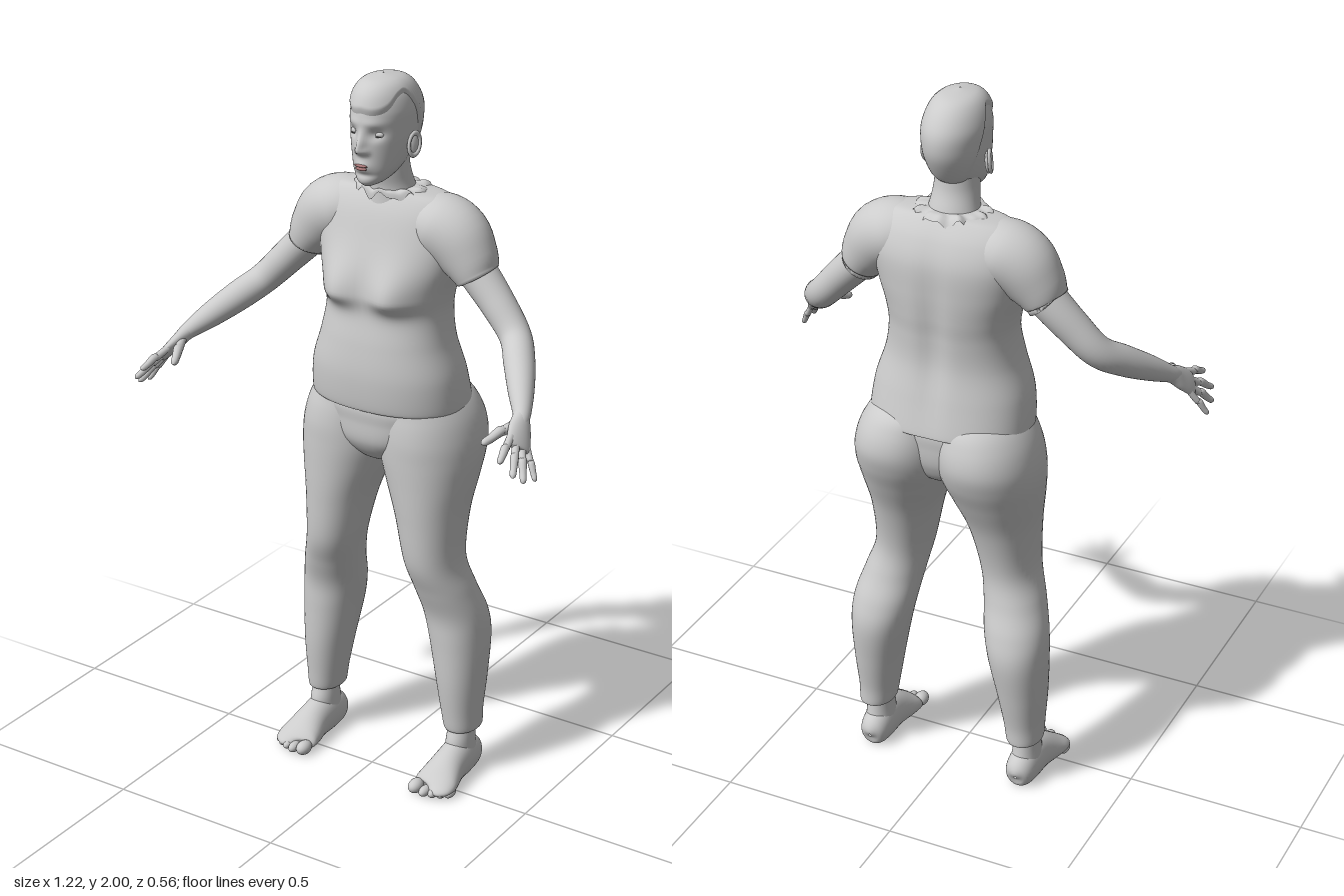
import * as THREE from 'three';

const skin = new THREE.MeshStandardMaterial({ color: 0xcccccc, side: THREE.DoubleSide });
const lipColor = new THREE.MeshStandardMaterial({ color: 0xa87878 });
const lashColor = new THREE.MeshStandardMaterial({ color: 0x555555 });
const bump = (d, s) => Math.exp(-(d / s) * (d / s));

// Smooth interpolation through rows of numbers, t in 0..1
function sample(rows, t) {
  const f = t * (rows.length - 1), i = Math.min(Math.floor(f), rows.length - 2), k = f - i;
  const at = n => rows[Math.max(0, Math.min(rows.length - 1, n))];
  const [a, b, c, d] = [at(i - 1), at(i), at(i + 1), at(i + 2)];
  return b.map((v, n) => v + 0.5 * k * (c[n] - a[n]
    + k * (2 * a[n] - 5 * v + 4 * c[n] - d[n] + k * (3 * (v - c[n]) + d[n] - a[n]))));
}

// Skin of rings: point(t, angle) gives a Vector3; side -1 mirrors it in x
function rings(name, steps, segs, side, point) {
  const pos = [], idx = [];
  for (let i = 0; i <= steps; i++) for (let j = 0; j < segs; j++) {
    const p = point(i / steps, j / segs * Math.PI * 2);
    pos.push(p.x * side, p.y, p.z);
    if (i === steps) continue;
    const a = i * segs + j, b = i * segs + (j + 1) % segs, c = a + segs, d = b + segs;
    idx.push(...(side > 0 ? [a, b, c, b, d, c] : [a, c, b, b, c, d]));
  }
  const g = new THREE.BufferGeometry();
  g.setAttribute('position', new THREE.Float32BufferAttribute(pos, 3));
  g.setIndex(idx);
  g.computeVertexNormals();
  const m = new THREE.Mesh(g, skin);
  m.name = name;
  return m;
}

// Point on a horizontal section [y, xMin, xMax, zFront, zBack]
function section([y, x0, x1, zf, zb], a, e = 2) {
  const pw = v => Math.sign(v) * Math.abs(v) ** (2 / e);
  return new THREE.Vector3((x0 + x1) / 2 + (x1 - x0) / 2 * pw(Math.sin(a)), y,
    (zf + zb) / 2 + (zf - zb) / 2 * pw(Math.cos(a)));
}
function loft(name, rows, { steps = 60, segs = 48, e = 2, side = 1, bend = () => {} } = {}) {
  return rings(name, steps, segs, side, (t, a) => {
    const p = section(sample(rows, t), a, e);
    bend(p, a, t);
    return p;
  });
}
// Tube through rows [x, y, z, radiusA, radiusB]; radiusA lies along ref x direction
function sweep(name, rows, ref, { steps = 32, segs = 24, side = 1, bend = () => {} } = {}) {
  const c = t => new THREE.Vector3(...sample(rows, t));
  return rings(name, steps, segs, side, (t, a) => {
    const T = c(Math.min(1, t + 0.01)).sub(c(Math.max(0, t - 0.01))).normalize();
    const A = ref.clone().cross(T).normalize(), B = T.clone().cross(A);
    const r = sample(rows, t);
    const p = c(t).addScaledVector(A, r[3] * Math.cos(a)).addScaledVector(B, r[4] * Math.sin(a));
    bend(p);
    return p;
  });
}
function ball(name, x, y, z, sx, sy, sz, mat = skin) {
  const m = new THREE.Mesh(new THREE.SphereGeometry(1, 20, 14), mat);
  m.name = name;
  m.position.set(x, y, z);
  m.scale.set(sx, sy, sz);
  return m;
}
const sym = rows => rows.map(([y, r, zf, zb]) => [y, -r, r, zf, zb]);

const headRows = sym([[1.722, 0.012, 0.03, -0.01], [1.735, 0.036, 0.043, -0.05], [1.76, 0.055, 0.046, -0.1],
  [1.79, 0.066, 0.048, -0.138], [1.84, 0.076, 0.05, -0.17], [1.88, 0.079, 0.05, -0.181], [1.92, 0.079, 0.047, -0.176],
  [1.96, 0.066, 0.03, -0.15], [1.983, 0.043, 0, -0.115], [1.992, 0.002, -0.052, -0.056]]);

// Eye sockets, nose, brow, lips and chin pushed into the face
function face(p) {
  if (p.z < -0.03) return;
  const x = Math.abs(p.x), y = p.y;
  p.z += -0.012 * bump(x - 0.034, 0.017) * bump(y - 1.864, 0.014)
    + 0.024 * bump(x, 0.012) * bump(y - 1.824, y > 1.824 ? 0.036 : 0.012)
    + 0.008 * bump(x - 0.014, 0.008) * bump(y - 1.82, 0.009)
    + 0.007 * bump(x, 0.024) * bump(y - 1.778, 0.015)
    + 0.004 * bump(x - 0.03, 0.03) * bump(y - 1.893, 0.012)
    - 0.004 * bump(x, 0.03) * bump(y - 1.755, 0.008);
}

function makeHead() {
  const g = new THREE.Group();
  g.name = 'head';
  g.add(loft('face', headRows, { steps: 100, segs: 96, bend: face }));
  // Hair shell: hairline high over the temples, dropping to the nape
  const hairline = [[1.918], [1.915], [1.925], [1.955], [1.95], [1.85], [1.785], [1.768], [1.765]];
  g.add(rings('hair', 36, 72, 1, (t, a) => {
    const edge = sample(hairline, Math.abs(a > Math.PI ? 2 * Math.PI - a : a) / Math.PI)[0];
    let lo = 0, hi = 1;
    for (let n = 0; n < 22; n++) {
      const mid = (lo + hi) / 2;
      if (sample(headRows, mid)[0] < edge) lo = mid; else hi = mid;
    }
    const p = section(sample(headRows, lo + (1 - lo) * t), a), c = new THREE.Vector3(0, 1.87, -0.06);
    return p.sub(c).multiplyScalar(1 + 0.075 * Math.min(1, t * 10)).add(c);
  }));
  g.add(loft('neck', sym([[1.64, 0.085, -0.02, -0.17], [1.7, 0.067, -0.025, -0.15],
    [1.75, 0.059, -0.015, -0.134], [1.81, 0.055, -0.005, -0.13]])));
  for (const s of [1, -1]) {
    const ear = new THREE.Group();
    ear.name = 'ear';
    ear.add(ball('earLobe', 0, -0.004, 0, 0.008, 0.032, 0.017));
    const rim = new THREE.Mesh(new THREE.TorusGeometry(0.02, 0.005, 8, 24), skin);
    rim.name = 'earRim';
    rim.rotation.y = Math.PI / 2;
    rim.scale.set(0.9, 1.45, 1);
    rim.position.x = s * 0.006;
    ear.add(rim);
    ear.position.set(s * 0.082, 1.824, -0.066);
    ear.rotation.set(-0.2, -s * 0.35, 0);
    g.add(ear, ball('eyelid', s * 0.034, 1.863, 0.022, 0.015, 0.009, 0.009),
      ball('lashes', s * 0.034, 1.858, 0.029, 0.012, 0.002, 0.003, lashColor));
  }
  g.add(ball('upperLip', 0, 1.782, 0.053, 0.02, 0.004, 0.005, lipColor),
    ball('lowerLip', 0, 1.774, 0.052, 0.017, 0.005, 0.006, lipColor));
  return g;
}

function makeShirt() {
  const g = new THREE.Group();
  g.name = 'shirt';
  // Torso with bust and spine groove
  g.add(loft('shirtBody', sym([[1.125, 0.21, 0.045, -0.25], [1.11, 0.223, 0.06, -0.262], [1.2, 0.214, 0.068, -0.242],
    [1.29, 0.186, 0.06, -0.224], [1.37, 0.173, 0.046, -0.224], [1.43, 0.18, 0.045, -0.229], [1.5, 0.2, 0.035, -0.231],
    [1.58, 0.215, 0.01, -0.227], [1.64, 0.208, -0.012, -0.205], [1.68, 0.172, -0.035, -0.175],
    [1.693, 0.1, -0.05, -0.155], [1.696, 0.01, -0.09, -0.11]]), {
    steps: 90, segs: 80, e: 2.3, bend: p => {
      if (p.z > -0.05) p.z += 0.036 * bump(Math.abs(p.x) - 0.085, 0.062) * bump(p.y - 1.425, p.y < 1.425 ? 0.036 : 0.08);
      if (p.z < -0.14) p.z += 0.014 * bump(p.x, 0.035) * bump(p.y - 1.38, 0.2);
    } }));
  // Ragged neckline
  g.add(loft('collar', sym([[1.683, 0.108, -0.018, -0.182], [1.697, 0.094, -0.02, -0.168],
    [1.7, 0.066, -0.03, -0.15]]), { steps: 8, segs: 96, bend: (p, a, t) => {
    p.y += (1 - t) * (0.009 * Math.sin(9 * a) + 0.006 * Math.sin(14 * a + 1));
  } }));
  for (const side of [1, -1]) {
    g.add(sweep('sleeve', [[0.1, 1.61, -0.105, 0.07, 0.08], [0.145, 1.605, -0.105, 0.088, 0.095],
      [0.195, 1.58, -0.103, 0.092, 0.09], [0.235, 1.535, -0.1, 0.077, 0.078], [0.259, 1.498, -0.098, 0.06, 0.068],
      [0.262, 1.493, -0.098, 0.056, 0.062], [0.255, 1.503, -0.098, 0.048, 0.05]],
    new THREE.Vector3(0, 0, 1), { side, segs: 40, steps: 24 }));
  }
  return g;
}

function makeArm(side) {
  const g = new THREE.Group();
  g.name = side > 0 ? 'leftArm' : 'rightArm';
  g.add(sweep('arm', [[0.2, 1.565, -0.1, 0.05, 0.055], [0.26, 1.5, -0.1, 0.05, 0.054], [0.33, 1.428, -0.09, 0.046, 0.047],
    [0.393, 1.362, -0.07, 0.042, 0.042], [0.44, 1.318, -0.012, 0.041, 0.041], [0.485, 1.275, 0.055, 0.034, 0.034],
    [0.52, 1.24, 0.11, 0.023, 0.024], [0.532, 1.22, 0.14, 0.018, 0.02]],
  new THREE.Vector3(0, 0, 1), { side, steps: 48, segs: 32 }));
  // Hand: palm, four fingers fanned along the knuckle line, thumb
  const palmNormal = new THREE.Vector3(-0.17, -0.12, -0.012);
  g.add(sweep('palm', [[0.515, 1.245, 0.102, 0.02, 0.02], [0.525, 1.232, 0.122, 0.025, 0.02], [0.535, 1.215, 0.145, 0.034, 0.018],
    [0.549, 1.193, 0.173, 0.038, 0.014], [0.556, 1.182, 0.188, 0.033, 0.01], [0.558, 1.18, 0.191, 0.005, 0.002]], palmNormal, { side }));
  const finger = (name, a, b, r) => {
    const at = (k, f) => [0, 1, 2].map(n => a[n] + (b[n] - a[n]) * k).concat(r * f, r * f);
    const rows = [at(0, 1), at(0.4, 1), at(0.5, 1.08), at(0.75, 0.9), at(0.93, 0.75), at(1, 0.05)];
    rows[2][1] += 0.004;
    g.add(sweep(name, rows, palmNormal, { side, steps: 18, segs: 12 }));
  };
  [[0.555, 1.175, 0.28], [0.587, 1.138, 0.267], [0.6, 1.114, 0.235], [0.606, 1.102, 0.185]].forEach((tip, i) => {
    const k = 0.028 - 0.0187 * i;
    finger('finger', [0.549 - 0.5 * k, 1.192 + 0.65 * k, 0.172 + 0.6 * k], tip, i === 3 ? 0.0085 : 0.0102);
  });
  finger('thumb', [0.525, 1.228, 0.13], [0.478, 1.193, 0.237], 0.0125);
  return g;
}

function makeLeg(side) {
  const g = new THREE.Group();
  g.name = side > 0 ? 'leftLeg' : 'rightLeg';
  g.add(loft('trouserLeg', [[0.16, 0.19, 0.266, -0.066, -0.17], [0.145, 0.18, 0.276, -0.055, -0.181],
    [0.2, 0.17, 0.279, -0.047, -0.185], [0.3, 0.152, 0.286, -0.037, -0.203], [0.42, 0.127, 0.29, -0.033, -0.22],
    [0.5, 0.11, 0.285, -0.028, -0.207], [0.58, 0.097, 0.263, -0.002, -0.179], [0.67, 0.08, 0.237, 0.028, -0.166],
    [0.8, 0.05, 0.24, 0.038, -0.194], [0.9, 0.012, 0.254, 0.042, -0.236], [0.97, -0.012, 0.261, 0.044, -0.268],
    [1.03, -0.015, 0.256, 0.044, -0.283], [1.09, -0.012, 0.236, 0.036, -0.272], [1.14, -0.005, 0.2, 0.02, -0.24],
    [1.18, 0.04, 0.14, -0.04, -0.16]], { side, steps: 90, e: 2.1 }));
  // Foot with a flat sole
  g.add(loft('ankle', [[0.04, 0.185, 0.27, -0.06, -0.17], [0.1, 0.19, 0.266, -0.052, -0.158],
    [0.15, 0.193, 0.263, -0.066, -0.154], [0.2, 0.193, 0.263, -0.068, -0.16]], { side, steps: 16, segs: 32 }));
  g.add(sweep('foot', [[0.227, 0.04, -0.181, 0.004, 0.005], [0.227, 0.042, -0.175, 0.028, 0.034], [0.227, 0.045, -0.15, 0.041, 0.052],
    [0.228, 0.05, -0.1, 0.045, 0.064], [0.229, 0.045, -0.045, 0.048, 0.056], [0.23, 0.032, 0.005, 0.058, 0.042],
    [0.231, 0.025, 0.035, 0.062, 0.029], [0.229, 0.02, 0.055, 0.052, 0.018], [0.225, 0.018, 0.062, 0.01, 0.004]],
  new THREE.Vector3(0, 1, 0), { side, segs: 36, bend: p => { p.y = Math.max(p.y, 0.002); } }));
  [[0.188, 0.066, 0.02], [0.219, 0.068, 0.0145], [0.243, 0.06, 0.0135], [0.264, 0.05, 0.0125], [0.282, 0.037, 0.012]]
    .forEach(([x, z, r]) => g.add(ball('toe', side * x, r + 0.002, z, r, r, r * 0.5 + 0.018)));
  return g;
}

export function createModel() {
  const model = new THREE.Group();
  model.name = 'standingFigure';
  model.add(makeHead(), makeShirt());
  model.add(loft('trouserSeat', sym([[0.925, 0.008, -0.06, -0.12], [0.95, 0.07, 0, -0.2], [1, 0.15, 0.038, -0.235],
    [1.06, 0.19, 0.045, -0.245], [1.12, 0.205, 0.04, -0.24], [1.17, 0.1, -0.03, -0.18]]), { e: 2.3 }));
  for (const side of [1, -1]) model.add(makeArm(side), makeLeg(side));
  return model;
}
